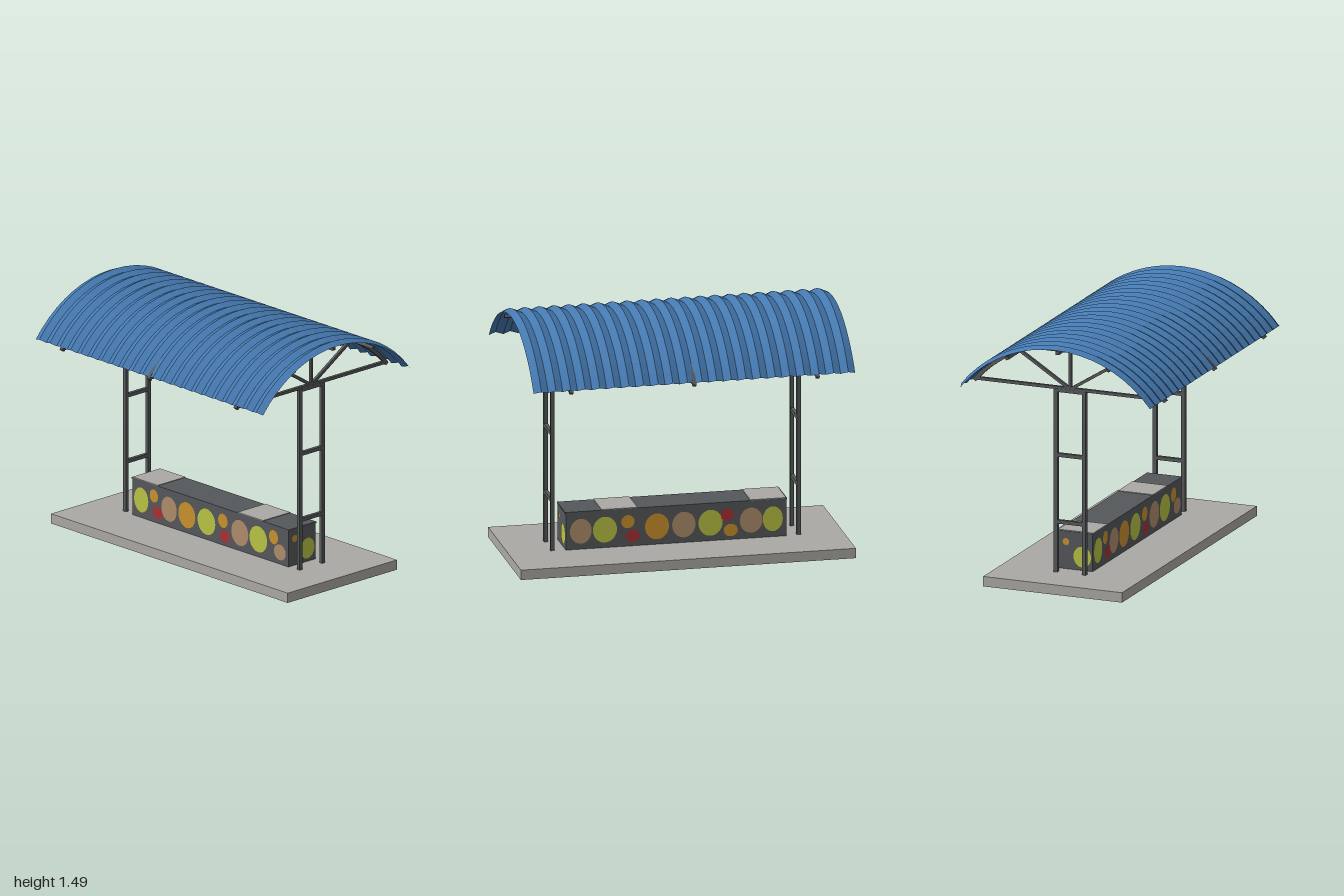
import * as THREE from 'three';

const mat = (name, color, extra = {}) =>
  Object.assign(new THREE.MeshStandardMaterial({ color, ...extra }), { name });

export function createModel() {
  const group = new THREE.Group();
  group.name = 'shelter';
  const stone = mat('paleStone', 0xaba9a4);
  const steel = mat('darkSteel', 0x56595a);
  const benchGrey = mat('benchGrey', 0x55585b);
  const blue = mat('roofBlue', 0x4579b0, { side: THREE.DoubleSide });
  const lime = mat('lime', 0xbac443);
  const orange = mat('orange', 0xcb922c);
  const tan = mat('tan', 0xb08e6c);
  const red = mat('red', 0xaa3034);

  const add = (name, geometry, material, parent = group) => {
    const mesh = new THREE.Mesh(geometry, material);
    mesh.name = name;
    parent.add(mesh);
    return mesh;
  };
  const box = (name, size, pos, material, parent) => {
    const mesh = add(name, new THREE.BoxGeometry(...size), material, parent);
    mesh.position.set(...pos);
    return mesh;
  };

  // Slab
  box('baseSlab', [2, 0.06, 0.88], [0, 0.03, 0], stone);

  // Bench with pale seat panels
  const bench = new THREE.Group();
  bench.name = 'bench';
  group.add(bench);
  box('benchBody', [1.316, 0.222, 0.216], [0, 0.171, 0], benchGrey, bench);
  box('benchTop', [1.326, 0.008, 0.222], [0, 0.286, 0], benchGrey, bench);
  for (const x of [-0.55, 0.338])
    box('seatPanel', [0.214, 0.004, 0.222], [x, 0.292, 0], stone, bench);

  // Painted dots: [across, height, half width, half height, colour]
  const frontDots = [
    [-0.583, 0.17, 0.06, 0.076, lime], [-0.476, 0.22, 0.035, 0.04, orange],
    [-0.444, 0.123, 0.042, 0.037, red], [-0.348, 0.17, 0.065, 0.076, tan],
    [-0.198, 0.17, 0.072, 0.079, orange], [-0.032, 0.17, 0.075, 0.08, lime],
    [0.107, 0.21, 0.04, 0.043, orange], [0.123, 0.118, 0.042, 0.038, red],
    [0.25, 0.17, 0.072, 0.079, tan], [0.406, 0.17, 0.075, 0.08, lime],
    [0.535, 0.214, 0.038, 0.043, orange], [0.588, 0.134, 0.05, 0.048, tan],
  ];
  const backDots = [
    [-0.569, 0.17, 0.065, 0.076, tan], [-0.425, 0.17, 0.072, 0.079, lime],
    [-0.288, 0.21, 0.04, 0.04, orange], [-0.258, 0.122, 0.042, 0.038, red],
    [-0.114, 0.17, 0.072, 0.079, orange], [0.046, 0.17, 0.07, 0.078, tan],
    [0.205, 0.17, 0.072, 0.079, lime], [0.304, 0.21, 0.04, 0.04, red],
    [0.326, 0.118, 0.042, 0.038, orange], [0.448, 0.17, 0.068, 0.077, tan],
    [0.577, 0.17, 0.06, 0.076, lime],
  ];
  const endDots = [
    [-0.06, 0.225, 0.021, 0.021, orange], [0.043, 0.142, 0.056, 0.063, lime],
  ];
  const paintSide = (name, dots, angle, distance) => {
    const side = new THREE.Group();
    side.name = name;
    side.rotation.y = angle;
    bench.add(side);
    for (const [x, y, rx, ry, colour] of dots) {
      const dot = add('paintedDot', new THREE.CircleGeometry(1, 28), colour, side);
      dot.scale.set(rx, ry, 1);
      dot.position.set(x, y, distance);
    }
  };
  paintSide('frontDots', frontDots, 0, 0.111);
  paintSide('backDots', backDots, Math.PI, 0.111);
  paintSide('leftEndDots', endDots, Math.PI / 2, 0.661);
  paintSide('rightEndDots', endDots, -Math.PI / 2, 0.661);

  // Ladder posts at both ends
  for (const x of [-0.735, 0.735]) {
    for (const z of [-0.09, 0.09])
      box('post', [0.024, 1.11, 0.024], [x, 0.615, z], steel);
    for (const y of [0.365, 0.77, 1.163])
      box('rung', [0.022, 0.022, 0.16], [x, y, 0], steel);
  }

  // Bowed roof trusses
  const archY = 0.643, archR = 0.8;
  const half = Math.asin(0.605 / archR);
  const arch = new THREE.Shape();
  arch.absarc(0, 0, archR + 0.011, Math.PI / 2 - half, Math.PI / 2 + half, false);
  arch.absarc(0, 0, archR - 0.011, Math.PI / 2 + half, Math.PI / 2 - half, true);
  const archGeometry = new THREE.ExtrudeGeometry(arch, {
    depth: 0.022, bevelEnabled: false, curveSegments: 18,
  });
  archGeometry.translate(0, archY, -0.011).rotateY(Math.PI / 2);
  const braceZ = 0.32;
  const braceY = archY + Math.sqrt(archR ** 2 - braceZ ** 2);
  for (const x of [-0.735, 0, 0.735]) {
    const truss = new THREE.Group();
    truss.name = 'truss';
    truss.position.x = x;
    group.add(truss);
    add('trussArch', archGeometry, steel, truss);
    box('bottomChord', [0.02, 0.018, 1.19], [0, 1.177, 0], steel, truss);
    box('kingPost', [0.018, 0.27, 0.018], [0, 1.308, 0], steel, truss);
    for (const s of [-1, 1]) {
      const rise = braceY - 1.175;
      const brace = box('brace', [0.018, 0.018, Math.hypot(braceZ, rise)],
        [0, 1.175 + rise / 2, s * braceZ / 2], steel, truss);
      brace.rotation.x = -s * Math.atan2(rise, braceZ);
    }
  }

  // Purlins along the roof
  for (const z of [-braceZ, 0, braceZ]) {
    const y = archY + Math.sqrt(archR ** 2 - z * z);
    box('purlin', [1.86, 0.02, 0.02], [0, y, z], steel).rotation.x = Math.asin(z / archR);
  }

  // Corrugated sheet bent over an arc
  const cols = 44, rows = 18, roofR = 0.776, roofY = 0.7;
  const span = Math.asin(0.606 / roofR);
  const sheet = new THREE.PlaneGeometry(1.92, 2, cols, rows);
  const p = sheet.attributes.position;
  for (let i = 0; i < p.count; i++) {
    const angle = -p.getY(i) * span;
    const r = roofR + ((i % (cols + 1)) % 2 ? 0.01 : -0.008);
    p.setY(i, roofY + r * Math.cos(angle));
    p.setZ(i, r * Math.sin(angle));
  }
  const roofGeometry = sheet.toNonIndexed();
  roofGeometry.computeVertexNormals();
  add('corrugatedRoof', roofGeometry, blue);

  return group;
}
